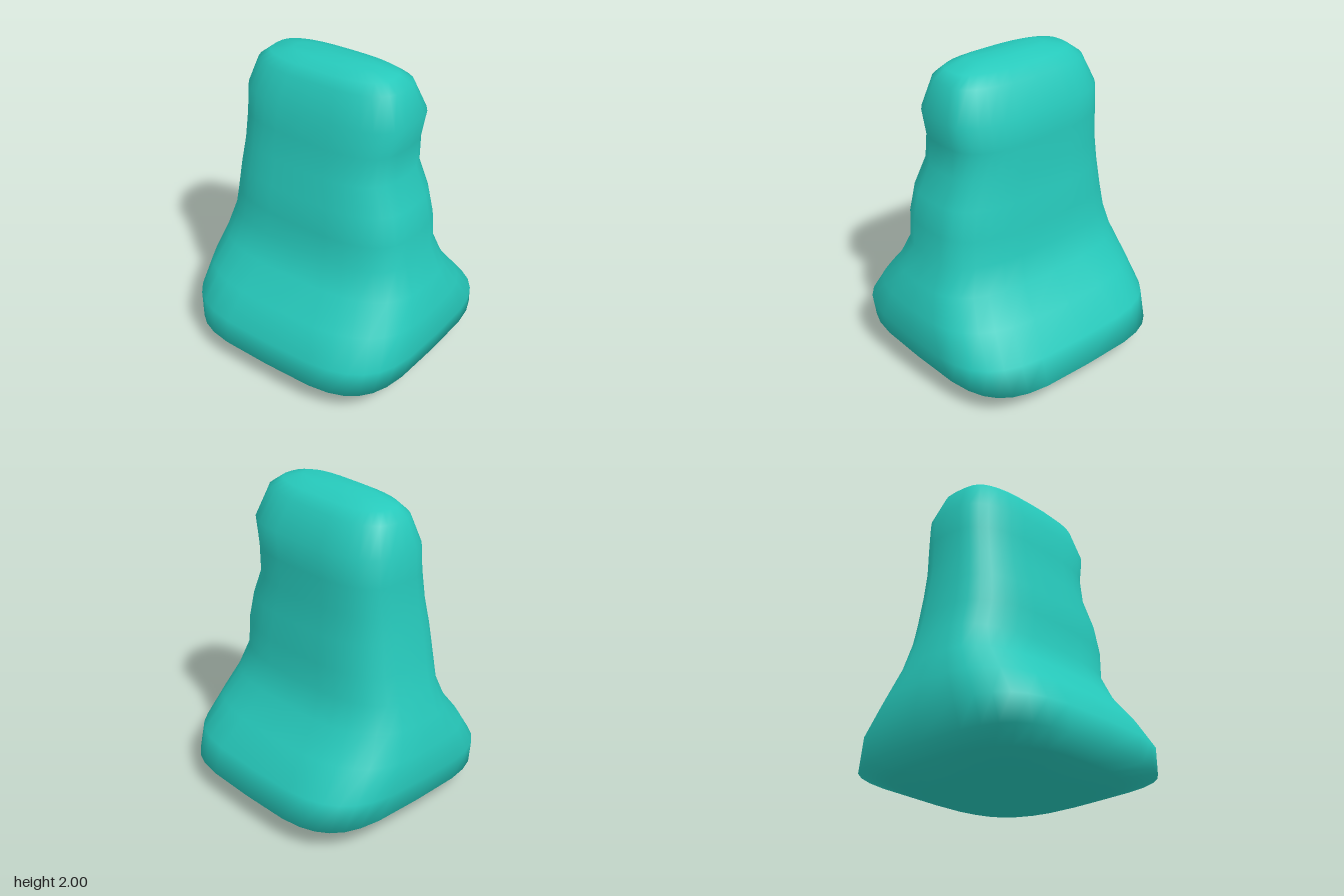
import * as THREE from 'three';

// Cross-sections from bottom to top: y, x min, x max, z back, z front, squareness
const SECTIONS = [
  [0.005, -0.22, 0.18, -0.18, 0.22, 2.2],
  [0.03, -0.47, 0.40, -0.40, 0.48, 2.3],
  [0.09, -0.65, 0.57, -0.57, 0.62, 2.9],
  [0.16, -0.75, 0.74, -0.735, 0.74, 4],
  [0.33, -0.79, 0.785, -0.68, 0.73, 3.6],
  [0.51, -0.775, 0.755, -0.54, 0.62, 3.2],
  [0.68, -0.73, 0.70, -0.41, 0.485, 3],
  [0.85, -0.68, 0.63, -0.35, 0.41, 3],
  [1.02, -0.64, 0.62, -0.345, 0.41, 3],
  [1.20, -0.615, 0.585, -0.32, 0.385, 3],
  [1.37, -0.59, 0.51, -0.305, 0.35, 3],
  [1.55, -0.58, 0.51, -0.305, 0.325, 3],
  [1.72, -0.575, 0.545, -0.30, 0.315, 3],
  [1.90, -0.51, 0.48, -0.21, 0.25, 3],
  [1.955, -0.44, 0.41, -0.14, 0.20, 2.8],
  [1.99, -0.28, 0.28, -0.05, 0.13, 2.6],
];
const SIDES = 32;

// Loft of rounded-square rings, closed by a centre point at each end
function loft(sections) {
  const pos = [], index = [];
  const power = (v, n) => Math.sign(v) * Math.abs(v) ** (2 / n);
  for (const [y, x0, x1, z0, z1, n] of sections) {
    for (let i = 0; i < SIDES; i++) {
      const t = (i / SIDES) * Math.PI * 2;
      const x = (x0 + x1) / 2 + ((x1 - x0) / 2) * power(Math.cos(t), n);
      const z = (z0 + z1) / 2 + ((z1 - z0) / 2) * power(Math.sin(t), n);
      // the crown leans up slightly towards +x
      const lean = y > 1.8 ? 0.025 * x : 0;
      pos.push(x, y + lean, z);
    }
  }
  const bottom = sections.length * SIDES, top = bottom + 1;
  const last = (sections.length - 1) * SIDES;
  pos.push(0, 0, 0, 0, 1.993, 0.04);
  for (let i = 0; i < SIDES; i++) {
    const j = (i + 1) % SIDES;
    for (let r = 0; r < last; r += SIDES) {
      const a = r + i, b = r + j, c = a + SIDES, d = b + SIDES;
      index.push(a, c, b, b, c, d);
    }
    index.push(bottom, i, j, top, last + j, last + i);
  }
  const geo = new THREE.BufferGeometry();
  geo.setAttribute('position', new THREE.Float32BufferAttribute(pos, 3));
  geo.setIndex(index);
  geo.computeVertexNormals();
  return geo;
}

export function createModel() {
  const group = new THREE.Group();
  group.name = 'roundedPedestal';
  const material = new THREE.MeshStandardMaterial({ color: 0x26c9bb });

  // One continuous body: flared base, waisted stem and rounded crown
  const body = new THREE.Mesh(loft(SECTIONS), material);
  body.name = 'body';
  group.add(body);
  return group;
}
